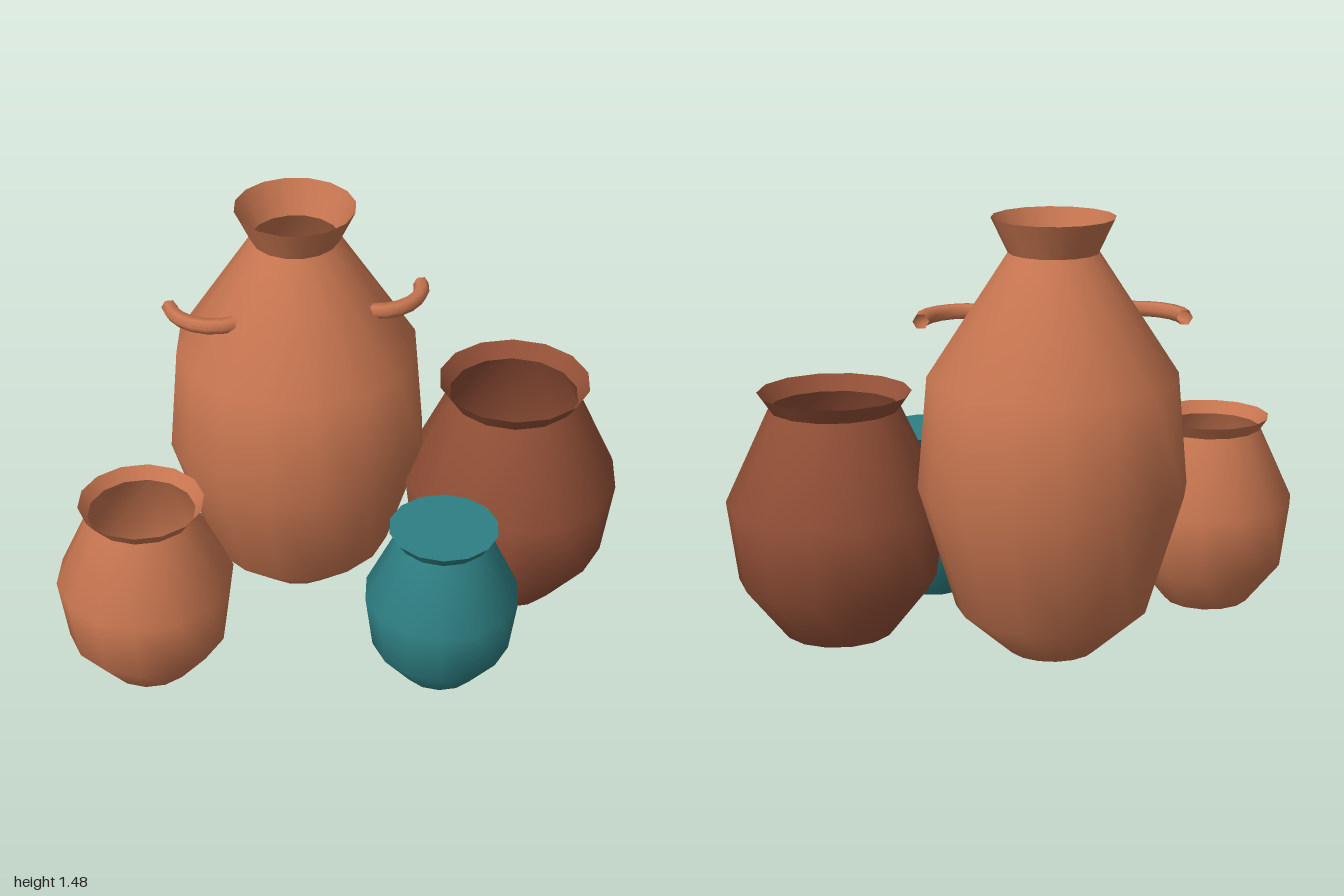
import * as THREE from 'three';

const makeMaterial = (name, color) =>
  new THREE.MeshStandardMaterial({ name, color, side: THREE.DoubleSide });

const terracotta = makeMaterial('terracotta', 0xc87650);
const darkClay = makeMaterial('dark clay', 0x935037);
const teal = makeMaterial('teal glaze', 0x2e7f83);
const cream = makeMaterial('cream', 0xe8dec8);

function addMesh(parent, name, geometry, material) {
  const mesh = new THREE.Mesh(geometry, material);
  mesh.name = name;
  parent.add(mesh);
  return mesh;
}

// Revolve [radius, height] pairs, listed from bottom to top
function lathe(profile, sides) {
  const g = new THREE.LatheGeometry(profile.map(([r, y]) => new THREE.Vector2(r, y)), sides);
  return g.rotateY(Math.PI / 2);
}

// A jar: smooth body, sharp flared rim, closed base
// profile = base, lower wall, widest ring(s), neck, rim
function makeJar({ name, x, z, profile, sides, material, lid, bar, softBase }) {
  const jar = new THREE.Group();
  jar.name = name;
  jar.position.set(x, 0, z);

  const body = profile.slice(0, -1);
  const neck = profile[profile.length - 2];
  const rim = profile[profile.length - 1];
  if (softBase) {
    body.unshift([0, 0]);
  } else {
    addMesh(jar, 'base', lathe([[0, 0], profile[0]], sides), material);
  }
  addMesh(jar, 'body', lathe(body, sides), material);
  addMesh(jar, 'rim', lathe([neck, rim], sides), material);
  if (lid) addMesh(jar, 'lid', lathe([rim, [0, rim[1]]], sides), material);

  // Rod lying across the inside, below the neck
  if (bar) {
    const rod = new THREE.CylinderGeometry(0.024, 0.024, neck[0] * 2, 8);
    rod.rotateZ(Math.PI / 2).translate(0, neck[1] * 0.6, 0);
    addMesh(jar, 'innerRod', rod, cream);
  }
  return jar;
}

export function createModel() {
  const model = new THREE.Group();
  model.name = 'jarGroup';

  const tall = makeJar({
    name: 'tallJar', x: -0.1, z: -0.24, sides: 16, material: terracotta, softBase: true,
    profile: [[0.15, 0], [0.325, 0.155], [0.45, 0.57], [0.417, 0.95], [0.15, 1.36], [0.205, 1.475]],
  });
  // Half-ring handles on both shoulders
  for (const side of [-1, 1]) {
    const ring = new THREE.TorusGeometry(0.155, 0.027, 6, 10, Math.PI).rotateX(Math.PI / 2);
    const handle = addMesh(tall, side > 0 ? 'leftHandle' : 'rightHandle', ring, terracotta);
    handle.position.set(side * 0.278, 1.135, 0);
  }
  model.add(tall);

  model.add(makeJar({
    name: 'darkJar', x: 0.622, z: -0.017, sides: 14, material: darkClay, bar: true,
    profile: [[0.19, 0], [0.34, 0.19], [0.377, 0.468], [0.224, 0.795], [0.262, 0.85]],
  }));

  model.add(makeJar({
    name: 'smallJar', x: -0.7, z: 0.225, sides: 14, material: terracotta, bar: true,
    profile: [[0.15, 0], [0.27, 0.15], [0.3, 0.375], [0.18, 0.637], [0.21, 0.68]],
  }));

  model.add(makeJar({
    name: 'tealJar', x: 0.28, z: 0.435, sides: 14, material: teal, lid: true,
    profile: [[0.132, 0], [0.237, 0.133], [0.263, 0.33], [0.157, 0.557], [0.184, 0.597]],
  }));

  return model;
}
